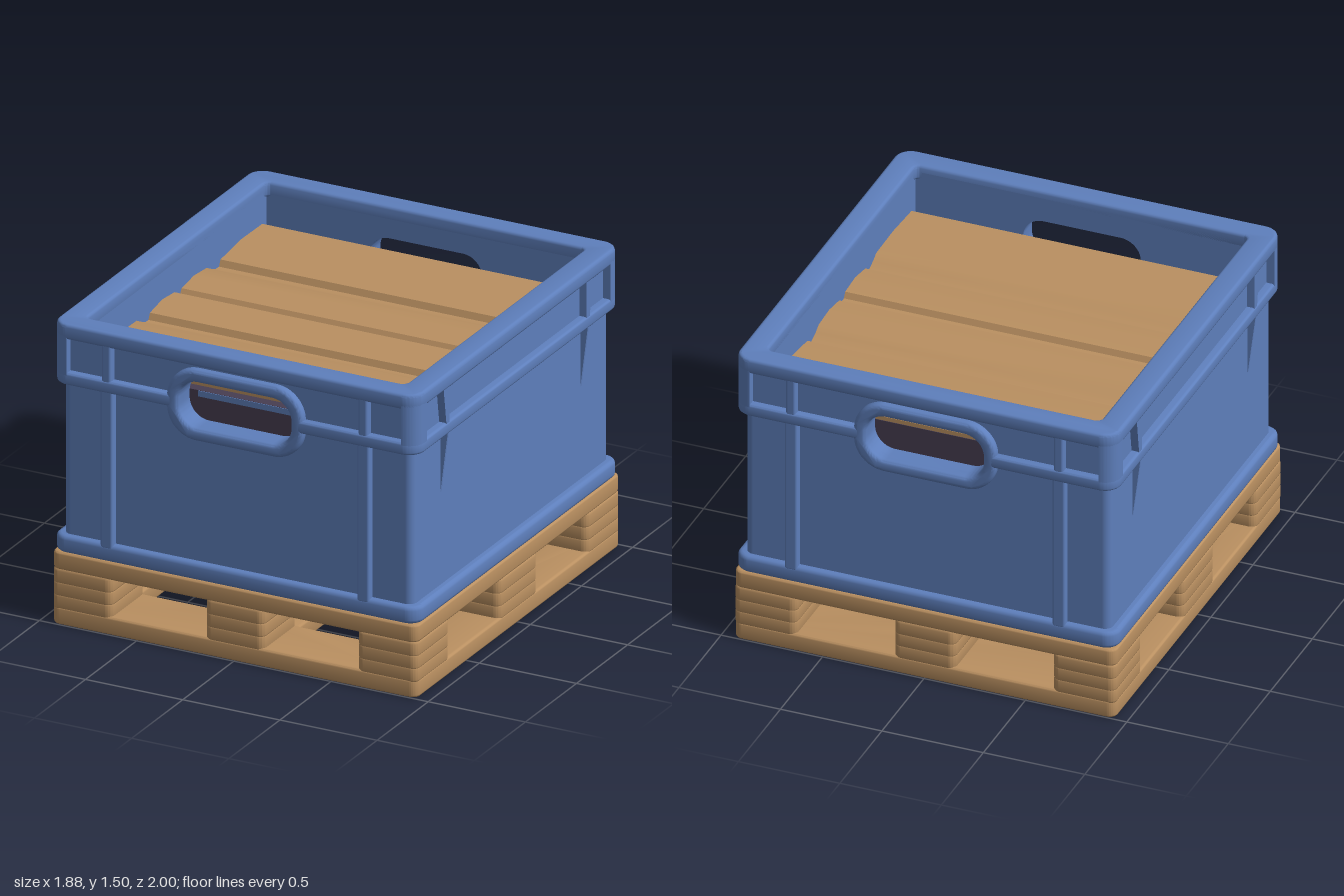
import * as THREE from 'three';
import { toCreasedNormals } from 'three/addons/utils/BufferGeometryUtils.js';
import { RoundedBoxGeometry } from 'three/addons/geometries/RoundedBoxGeometry.js';

const material = (name, color) => Object.assign(new THREE.MeshStandardMaterial({ color }), { name });

// Rounded rectangle between two corners, as a Shape or a Path for holes
function roundRect(x0, y0, x1, y1, r, Kind = THREE.Shape) {
  const p = new Kind();
  p.moveTo(x0 + r, y0);
  p.lineTo(x1 - r, y0);
  p.absarc(x1 - r, y0 + r, r, -Math.PI / 2, 0);
  p.lineTo(x1, y1 - r);
  p.absarc(x1 - r, y1 - r, r, 0, Math.PI / 2);
  p.lineTo(x0 + r, y1);
  p.absarc(x0 + r, y1 - r, r, Math.PI / 2, Math.PI);
  p.lineTo(x0, y0 + r);
  p.absarc(x0 + r, y0 + r, r, Math.PI, Math.PI * 1.5);
  return p;
}

// Extrusion whose total size, bevel included, runs from 0 to depth
function extrude(shape, depth, b = 0) {
  const g = new THREE.ExtrudeGeometry(shape, {
    depth: depth - 2 * b, bevelEnabled: b > 0, bevelSize: b, bevelThickness: b,
    bevelOffset: -b, bevelSegments: 3, curveSegments: 10,
  });
  g.translate(0, 0, b);
  return toCreasedNormals(g, 0.7);
}

// Horizontal slab made from a plan shape
const slab = (shape, y0, y1, b) => extrude(shape, y1 - y0, b).rotateX(-Math.PI / 2).translate(0, y0, 0);

// Rounded box given by its limits
function box(x0, x1, y0, y1, z0, z1, r = 0.012) {
  return new RoundedBoxGeometry(x1 - x0, y1 - y0, z1 - z0, 2, r)
    .translate((x0 + x1) / 2, (y0 + y1) / 2, (z0 + z1) / 2);
}

export function createModel() {
  const blue = material('blue plastic', 0x5e7fbc);
  const wood = material('wood', 0xba9061);
  const dark = material('dark lining', 0x473d51);
  const model = new THREE.Group();
  const pallet = new THREE.Group();
  pallet.name = 'pallet';
  const crate = new THREE.Group();
  crate.name = 'crate';
  const contents = new THREE.Group();
  contents.name = 'contents';
  model.add(pallet, crate, contents);
  const add = (parent, name, geometry, mat) => {
    const mesh = new THREE.Mesh(geometry, mat);
    mesh.name = name;
    parent.add(mesh);
    return mesh;
  };
  const signs = [-1, 1];

  // Pallet base frame with four openings
  const base = roundRect(-0.94, -1, 0.94, 1, 0.04);
  for (const sx of signs) for (const sz of signs) {
    const cx = sx * 0.41, cz = sz * 0.44;
    base.holes.push(roundRect(cx - 0.235, cz - 0.245, cx + 0.235, cz + 0.245, 0.005, THREE.Path));
  }
  add(pallet, 'palletBase', slab(base, 0, 0.088, 0.012), wood);
  add(pallet, 'palletDeck', slab(roundRect(-0.94, -1, 0.94, 1, 0.04), 0.272, 0.36, 0.012), wood);

  // Nine pallet blocks, each with three shallow bulges
  const spansX = [[-0.94, -0.63], [-0.152, 0.152], [0.63, 0.94]];
  const spansZ = [[-1, -0.67], [-0.19, 0.19], [0.67, 1]];
  for (const [x0, x1] of spansX) for (const [z0, z1] of spansZ) for (let i = 0; i < 3; i++) {
    const y = 0.07 + i * 0.063;
    add(pallet, 'palletBlock', slab(roundRect(x0, z0, x1, z1, 0.035), y, y + 0.086, 0.018), wood);
  }

  // Crate floor flange
  add(crate, 'baseFlange', slab(roundRect(-0.94, -0.995, 0.94, 0.995, 0.07), 0.357, 0.442, 0.02), blue);

  // Top rim
  const rim = roundRect(-0.94, -1, 0.94, 1, 0.08);
  rim.holes.push(roundRect(-0.82, -0.88, 0.82, 0.88, 0.03, THREE.Path));
  add(crate, 'topRim', slab(rim, 1.42, 1.495, 0.015), blue);

  // Lower lip of the rim, left open at the handles
  const lip = new THREE.Shape();
  lip.moveTo(0.33, -1);
  lip.lineTo(0.86, -1);
  lip.absarc(0.86, -0.92, 0.08, -Math.PI / 2, 0);
  lip.lineTo(0.94, 0.92);
  lip.absarc(0.86, 0.92, 0.08, 0, Math.PI / 2);
  lip.lineTo(0.33, 1);
  lip.lineTo(0.33, 0.91);
  lip.lineTo(0.85, 0.91);
  lip.lineTo(0.85, -0.91);
  lip.lineTo(0.33, -0.91);
  for (const s of signs) {
    add(crate, 'lowerLip', slab(lip, 1.195, 1.255, 0.012), blue).rotation.y = s > 0 ? 0 : Math.PI;
  }

  // Side walls with rim braces, tapering fins and rounded corner posts
  const fin = new THREE.Shape();
  fin.moveTo(0.88, 0.9);
  fin.lineTo(0.9, 0.9);
  fin.lineTo(0.938, 1.2);
  fin.lineTo(0.88, 1.2);
  const brace = new THREE.Shape();
  brace.moveTo(0.67, 1.24);
  brace.lineTo(0.7, 1.24);
  brace.lineTo(0.73, 1.44);
  brace.lineTo(0.67, 1.44);
  for (const s of signs) {
    const side = new THREE.Group();
    side.name = 'crateSide';
    side.rotation.y = s > 0 ? 0 : Math.PI;
    crate.add(side);
    add(side, 'sideWall', new THREE.BoxGeometry(0.08, 1.04, 1.84).translate(0.86, 0.94, 0), blue);
    for (const sz of signs) {
      add(side, 'sideFin', extrude(fin, 0.012).translate(0, 0, sz * 0.685 - 0.006), blue);
      const post = new THREE.Shape();
      post.moveTo(0.86, -sz * 0.9);
      post.lineTo(0.94, -sz * 0.9);
      post.absarc(0.86, -sz * 0.92, 0.08, 0, -sz * Math.PI / 2, sz > 0);
      add(side, 'cornerPost', slab(post, 1.24, 1.44, 0), blue);
      const sideBrace = extrude(brace, 0.06).rotateY(-Math.PI / 2);
      if (sz < 0) sideBrace.rotateY(Math.PI);
      add(side, 'sideBrace', sideBrace.translate(sz > 0 ? 0.937 : 0.877, 0, 0), blue);
      add(side, 'wallCorner',
        new THREE.CylinderGeometry(0.04, 0.04, 1.04, 24).translate(0.86, 0.94, sz * 0.92), blue);
    }
  }

  // Front and back walls with handle openings and ribs
  const panel = new THREE.Shape();
  panel.moveTo(-0.86, 0.42);
  panel.lineTo(0.86, 0.42);
  panel.lineTo(0.86, 1.46);
  panel.lineTo(-0.86, 1.46);
  panel.holes.push(roundRect(-0.29, 1.11, 0.29, 1.34, 0.1, THREE.Path));
  const ring = roundRect(-0.35, 1.05, 0.35, 1.4, 0.15);
  ring.holes.push(roundRect(-0.29, 1.11, 0.29, 1.34, 0.1, THREE.Path));
  for (const s of signs) {
    const end = new THREE.Group();
    end.name = s > 0 ? 'crateFront' : 'crateBack';
    end.rotation.y = s > 0 ? 0 : Math.PI;
    crate.add(end);
    add(end, 'endWall', extrude(panel, 0.08).translate(0, 0, 0.88), blue);
    add(end, 'handleRing', extrude(ring, 0.08, 0.018).translate(0, 0, 0.92), blue);
    for (const sx of signs) {
      const x = sx * 0.66;
      add(end, 'endRib', box(x - 0.032, x + 0.032, 0.42, 1.23, 0.93, 0.995), blue);
      add(end, 'rimBrace', box(x - 0.024, x + 0.024, 1.22, 1.45, 0.93, 0.997), blue);
    }
  }

  // Four broad boards with shallow dips between them, as one cross-section
  const ridge = [
    [0.82, 1.285], [0.6, 1.3], [0.4, 1.295], [0.36, 1.272], [0.31, 1.255], [0.285, 1.255],
    [0.27, 1.285], [0.15, 1.305], [0.03, 1.295], [0.015, 1.268], [-0.025, 1.265], [-0.04, 1.288],
    [-0.16, 1.305], [-0.285, 1.295], [-0.32, 1.274], [-0.37, 1.256], [-0.405, 1.255], [-0.42, 1.285],
    [-0.62, 1.308], [-0.83, 1.305], [-0.875, 1.265],
  ];
  const section = new THREE.Shape();
  section.moveTo(-0.875, 1.22);
  section.lineTo(0.82, 1.245);
  for (const [z, y] of ridge) section.lineTo(z, y);
  const boards = extrude(section, 1.63).translate(0, 0, -0.815).rotateY(-Math.PI / 2);
  add(contents, 'boards', boards, wood);

  // Dark lining that fills the crate below the boards, with a narrow trim at the front
  add(contents, 'lining', new THREE.BoxGeometry(1.636, 0.806, 1.75).translate(0, 0.842, -0.003), dark);
  add(contents, 'liningTrim', new THREE.BoxGeometry(0.5, 0.028, 0.005).translate(0, 1.23, 0.8735), blue);

  return model;
}
